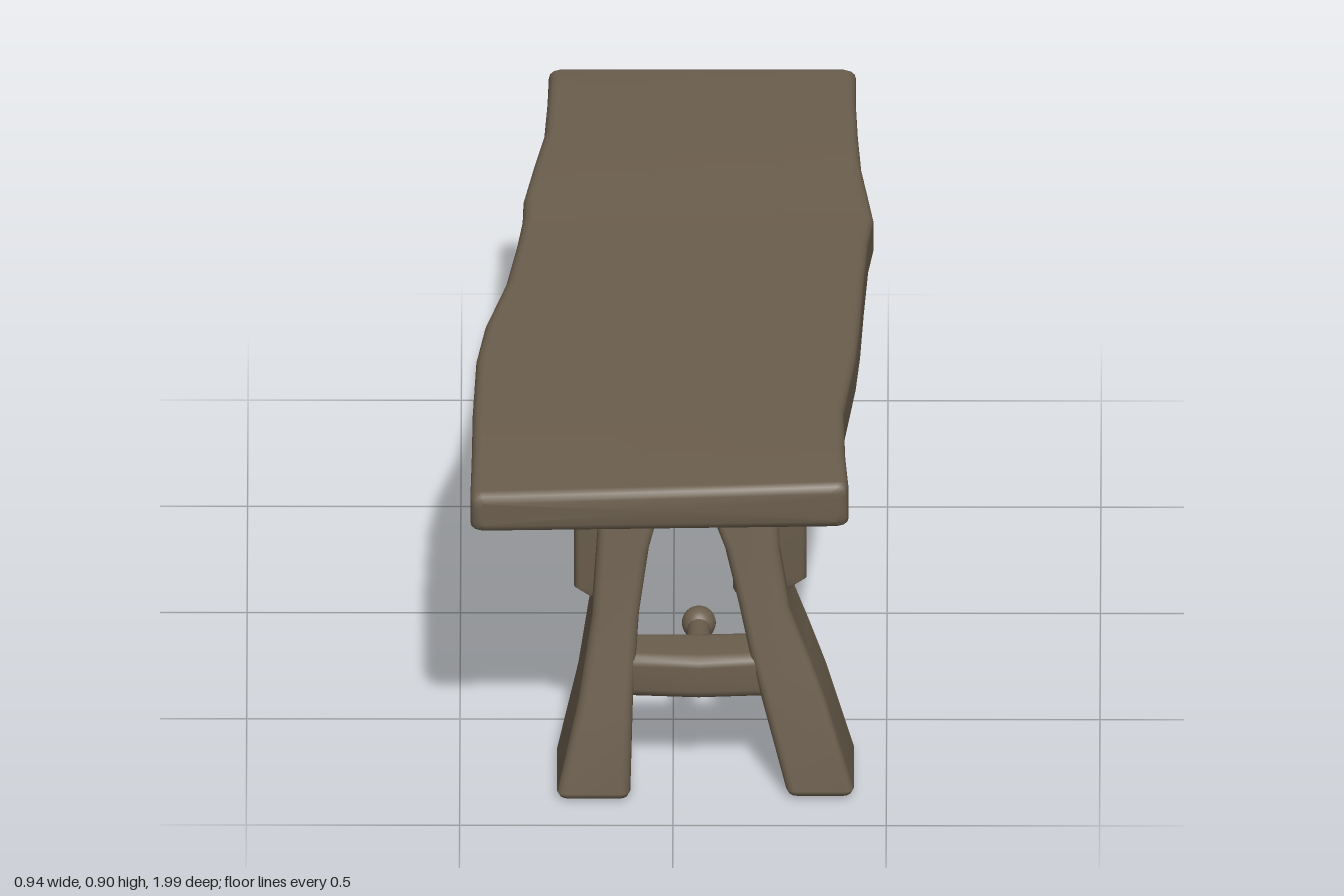
import * as THREE from 'three';

const wood = new THREE.MeshStandardMaterial({ color: 0x6b5e4d });
wood.name = 'dark wood';

// Rounded-rectangle ring of points in (a, b)
function ring(a0, a1, b0, b1, r) {
  const pts = [];
  const corners = [[a1 - r, b1 - r], [a0 + r, b1 - r], [a0 + r, b0 + r], [a1 - r, b0 + r]];
  corners.forEach(([ca, cb], k) => {
    for (let i = 0; i <= 3; i++) {
      const t = (k + i / 3) * Math.PI / 2;
      pts.push([ca + r * Math.cos(t), cb + r * Math.sin(t)]);
    }
  });
  return pts;
}

// Skin sections [c, a0, a1, b0, b1] along an axis; (a, b, c) are cyclic axes.
// The two ends are rounded over by the radius r.
function loft(name, axis, sections, r, warp = p => p) {
  const rows = [];
  const first = sections[0], last = sections[sections.length - 1];
  const inset = ([c, a0, a1, b0, b1], d, dc) => [c + dc, a0 + d, a1 - d, b0 + d, b1 - d];
  const all = [
    inset(first, r, 0), inset(first, r * 0.3, r * 0.3), inset(first, 0, r),
    ...sections.slice(1, -1),
    inset(last, 0, -r), inset(last, r * 0.3, -r * 0.3), inset(last, r, 0),
  ];
  const place = (a, b, c) => {
    const p = new THREE.Vector3();
    p.setComponent(axis, c);
    p.setComponent((axis + 1) % 3, a);
    p.setComponent((axis + 2) % 3, b);
    return warp(p);
  };
  for (const [c, ...box] of all) rows.push(ring(...box, r).map(([a, b]) => place(a, b, c)));
  const n = rows[0].length, pts = rows.flat(), index = [];
  for (let i = 0; i < rows.length - 1; i++) {
    for (let j = 0; j < n; j++) {
      const k = (j + 1) % n, p = i * n, q = p + n;
      index.push(p + j, p + k, q + k, p + j, q + k, q + j);
    }
  }
  // End caps
  const mid = row => row.reduce((s, p) => s.add(p), new THREE.Vector3()).divideScalar(n);
  const end = (rows.length - 1) * n, m0 = pts.length, m1 = m0 + 1;
  pts.push(mid(rows[0]), mid(rows[rows.length - 1]));
  for (let j = 0; j < n; j++) {
    const k = (j + 1) % n;
    index.push(m0, k, j, m1, end + j, end + k);
  }
  const geo = new THREE.BufferGeometry().setFromPoints(pts);
  geo.setIndex(index);
  geo.computeVertexNormals();
  const mesh = new THREE.Mesh(geo, wood);
  mesh.name = name;
  return mesh;
}

const X = 0, Y = 1, Z = 2;

export function createModel() {
  const g = new THREE.Group();
  g.name = 'bench';

  // Live-edge slab: sections [z, x0, x1, y0, y1]
  const slab = [
    [-1.0, -0.295, 0.425, 0.793, 0.908],
    [-0.85, -0.298, 0.425, 0.792, 0.908],
    [-0.7, -0.305, 0.43, 0.79, 0.907],
    [-0.55, -0.33, 0.438, 0.789, 0.906],
    [-0.4, -0.353, 0.457, 0.788, 0.903],
    [-0.31, -0.355, 0.468, 0.787, 0.901],
    [-0.2, -0.367, 0.455, 0.786, 0.9],
    [0.0, -0.395, 0.445, 0.785, 0.9],
    [0.2, -0.443, 0.437, 0.785, 0.9],
    [0.35, -0.462, 0.427, 0.785, 0.901],
    [0.6, -0.47, 0.4, 0.785, 0.902],
    [0.8, -0.472, 0.403, 0.785, 0.9],
    [0.993, -0.475, 0.412, 0.785, 0.897],
  ];
  g.add(loft('seatSlab', Z, slab, 0.022, p => {
    // Front edge is cut slightly hollow, and its right-hand corner dips
    const f = THREE.MathUtils.smoothstep(p.z, 0.6, 1);
    p.z -= 0.023 * f * THREE.MathUtils.smoothstep(p.x, -0.25, 0.05);
    if (p.y > 0.84) p.y += 0.018 * f * p.x;
    return p;
  }));

  // Legs: sections [y, z0, z1, x0, x1]
  g.add(loft('frontRightLeg', Y, [
    [0.003, 0.65, 0.89, -0.272, -0.1],
    [0.25, 0.64, 0.85, -0.222, -0.094],
    [0.46, 0.62, 0.81, -0.19, -0.08],
    [0.62, 0.61, 0.785, -0.18, -0.057],
    [0.81, 0.6, 0.76, -0.17, -0.012],
  ], 0.02));
  g.add(loft('frontLeftLeg', Y, [
    [0.008, 0.65, 0.885, 0.265, 0.424],
    [0.25, 0.64, 0.85, 0.208, 0.358],
    [0.36, 0.63, 0.83, 0.18, 0.318],
    [0.48, 0.62, 0.81, 0.155, 0.272],
    [0.62, 0.61, 0.785, 0.122, 0.25],
    [0.81, 0.6, 0.76, 0.058, 0.24],
  ], 0.02));
  g.add(loft('backRightLeg', Y, [
    [0.08, -0.86, -0.705, -0.314, -0.16],
    [0.35, -0.805, -0.665, -0.217, -0.09],
    [0.55, -0.77, -0.65, -0.19, -0.075],
    [0.69, -0.755, -0.64, -0.18, -0.055],
    [0.81, -0.745, -0.585, -0.175, -0.03],
  ], 0.02));
  g.add(loft('backLeftLeg', Y, [
    [0.1, -0.86, -0.685, 0.135, 0.3],
    [0.35, -0.805, -0.665, 0.128, 0.275],
    [0.55, -0.77, -0.65, 0.122, 0.25],
    [0.69, -0.755, -0.64, 0.115, 0.245],
    [0.81, -0.745, -0.585, 0.09, 0.24],
  ], 0.02));

  // Shoulder blocks stepping out at the top of each leg
  const shoulders = [
    ['frontRightShoulder', 0.45, -0.232, -0.1, 0.62, 0.765, -1],
    ['frontLeftShoulder', 0.475, 0.14, 0.313, 0.62, 0.765, 1],
    ['backRightShoulder', 0.54, -0.23, -0.1, -0.75, -0.635, -1],
    ['backLeftShoulder', 0.54, 0.14, 0.3, -0.75, -0.635, 1],
  ];
  for (const [name, y, x0, x1, z0, z1, side] of shoulders) {
    const cut = side < 0 ? [x0 + 0.045, x1] : [x0, x1 - 0.045];
    g.add(loft(name, Y, [
      [y, z0 + 0.035, z1 - 0.025, ...cut],
      [y + 0.05, z0 + 0.025, z1 - 0.015, x0, x1],
      [0.81, z0, z1, x0, x1],
    ], 0.014));
  }

  // Stretchers: sections [x, y0, y1, z0, z1]
  g.add(loft('frontStretcher', X, [
    [-0.17, 0.246, 0.358, 0.7, 0.825],
    [0.06, 0.246, 0.358, 0.7, 0.838],
    [0.28, 0.246, 0.362, 0.7, 0.825],
  ], 0.025));
  g.add(loft('backStretcher', X, [
    [-0.15, 0.295, 0.392, -0.785, -0.69],
    [0.2, 0.305, 0.412, -0.785, -0.69],
  ], 0.025));

  // Round peg with a knob, pointing inward from the front stretcher
  const peg = new THREE.Group();
  peg.name = 'peg';
  const shaft = new THREE.Mesh(new THREE.CylinderGeometry(0.026, 0.03, 0.17, 16), wood);
  shaft.name = 'pegShaft';
  shaft.rotation.x = -Math.PI / 2;
  shaft.position.z = 0.075;
  const knob = new THREE.Mesh(new THREE.SphereGeometry(0.04, 20, 14), wood);
  knob.name = 'pegKnob';
  peg.add(shaft, knob);
  peg.position.set(0.06, 0.315, 0.588);
  g.add(peg);

  return g;
}
